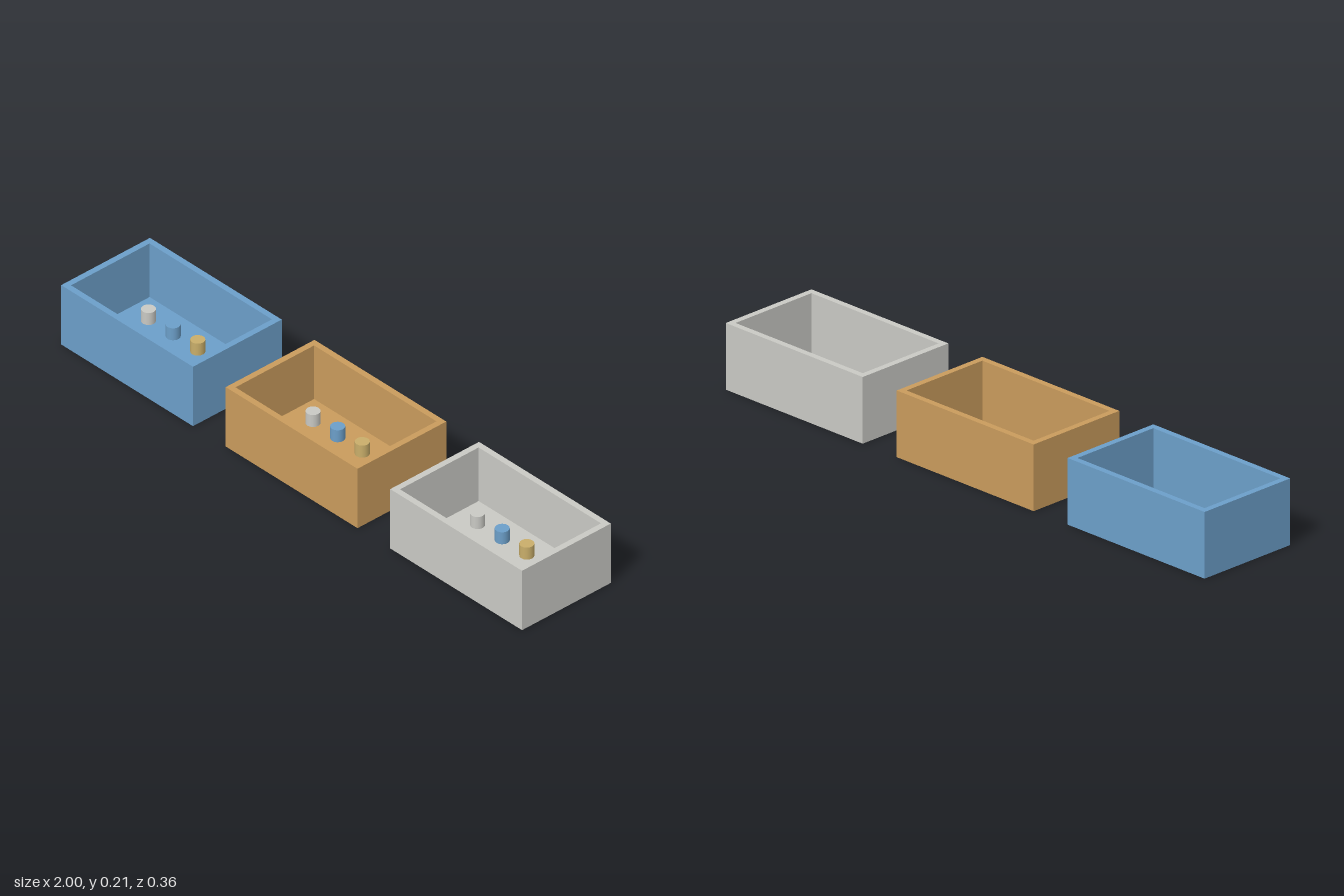
import * as THREE from 'three';

const W = 0.572, D = 0.357, H = 0.214, WALL = 0.0205, FLOOR = 0.021;

function material(name, color) {
  const m = new THREE.MeshStandardMaterial({ color });
  m.name = name;
  return m;
}

// Rectangle outline centred on the origin
function rectangle(PathType, w, d) {
  return new PathType([
    [-w / 2, -d / 2], [w / 2, -d / 2], [w / 2, d / 2], [-w / 2, d / 2],
  ].map(([x, y]) => new THREE.Vector2(x, y)));
}

export function createModel() {
  const blue = material('blue', 0x6c9fc9);
  const orange = material('orange', 0xc99b5c);
  const grey = material('light grey', 0xc9c9c4);
  const gold = material('gold', 0xc9ae6a);

  // Four walls as one hollow frame
  const outline = rectangle(THREE.Shape, W, D);
  outline.holes.push(rectangle(THREE.Path, W - 2 * WALL, D - 2 * WALL));
  const wallGeometry = new THREE.ExtrudeGeometry(outline, { depth: H, bevelEnabled: false });
  wallGeometry.rotateX(-Math.PI / 2);

  // Floor fits inside the frame
  const floorGeometry = new THREE.BoxGeometry(W - 2 * WALL, FLOOR, D - 2 * WALL);
  const pegHeight = 0.043;
  const pegGeometry = new THREE.CylinderGeometry(0.0225, 0.0225, pegHeight, 16);

  const model = new THREE.Group();
  model.name = 'storageBins';

  function add(parent, name, geometry, mat, x = 0, y = 0, z = 0) {
    const mesh = new THREE.Mesh(geometry, mat);
    mesh.name = name;
    mesh.position.set(x, y, z);
    parent.add(mesh);
  }

  [['blueBin', blue], ['orangeBin', orange], ['greyBin', grey]].forEach(([name, mat], i) => {
    const bin = new THREE.Group();
    bin.name = name;
    bin.position.x = (i - 1) * 0.714;
    add(bin, 'walls', wallGeometry, mat);
    add(bin, 'floor', floorGeometry, mat, 0, FLOOR / 2, 0);

    // Two rows of short round pieces standing on the floor
    for (const z of [-0.073, 0.05]) {
      [grey, blue, gold, grey].forEach((pegMat, k) => {
        add(bin, 'roundPiece', pegGeometry, pegMat, -0.1785 + k * 0.107, FLOOR + pegHeight / 2, z);
      });
    }
    model.add(bin);
  });
  return model;
}
